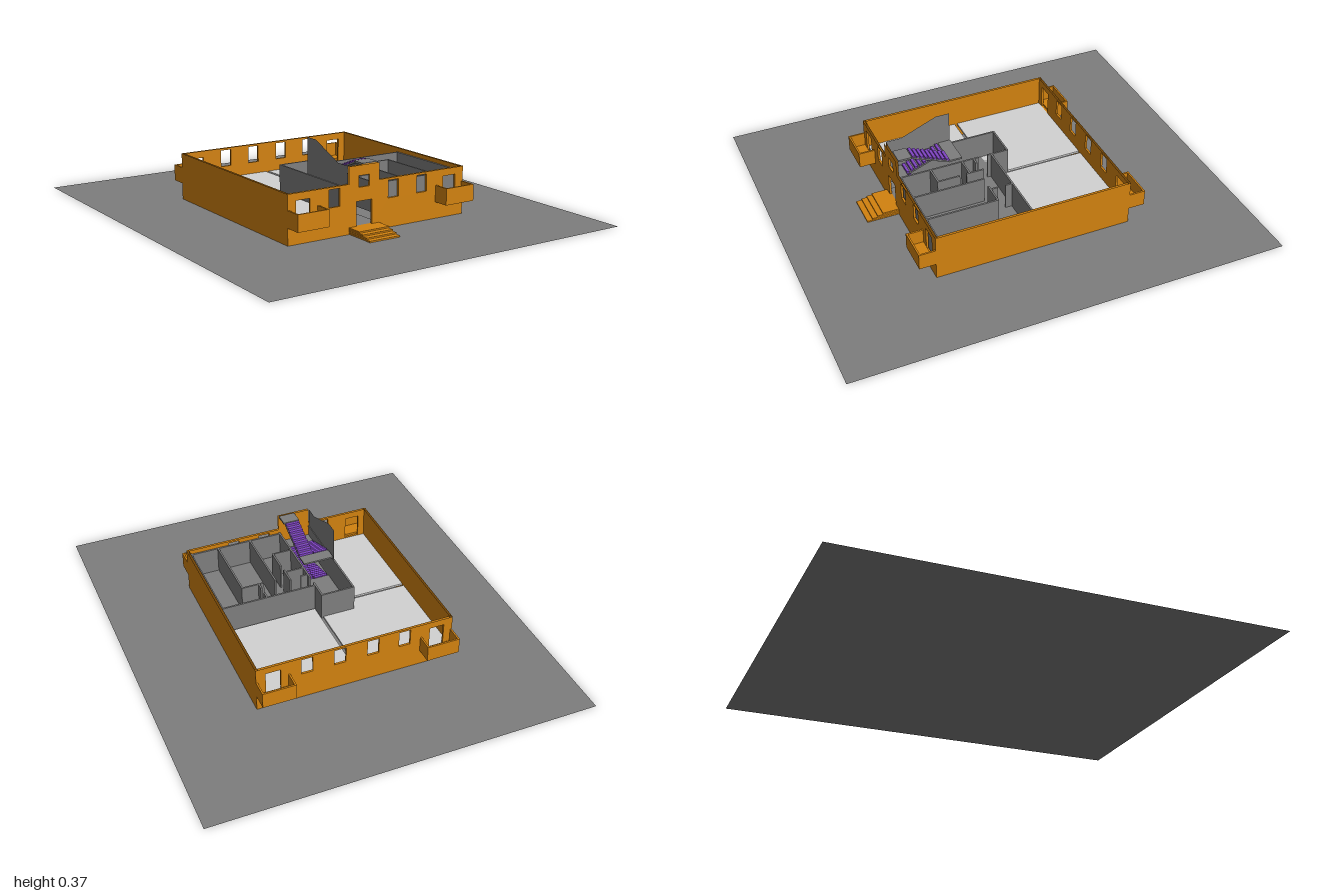
import * as THREE from 'three';

const mat = (name, color, side = THREE.FrontSide) => {
  const m = new THREE.MeshStandardMaterial({ color, side });
  m.name = name;
  return m;
};

export function createModel() {
  const model = new THREE.Group();
  const gray = mat('concrete gray', 0x7e7e7e, THREE.DoubleSide);
  const light = mat('light floor', 0xd2d2d2);
  const orange = mat('orange facade', 0xd2820f, THREE.DoubleSide);
  const purple = mat('purple treads', 0x8044c4);

  const add = (name, geometry, material, parent = model) => {
    const mesh = new THREE.Mesh(geometry, material);
    mesh.name = name;
    parent.add(mesh);
    return mesh;
  };
  // Box given by its minimum and maximum corners
  const box = (name, material, [x0, y0, z0], [x1, y1, z1], parent) => {
    const m = add(name, new THREE.BoxGeometry(x1 - x0, y1 - y0, z1 - z0), material, parent);
    m.position.set((x0 + x1) / 2, (y0 + y1) / 2, (z0 + z1) / 2);
    return m;
  };
  const shapeOf = (pts) => new THREE.Shape(pts.map(([x, y]) => new THREE.Vector2(x, y)));

  // Ground sheet
  add('ground', new THREE.PlaneGeometry(1.76, 2), gray).rotation.x = -Math.PI / 2;

  // Front and back walls: two skins with openings, and reveals between them
  const H = 0.218, FLOOR = 0.075;
  const facade = (name, outline, openings, sign) => {
    const group = new THREE.Group();
    group.name = name;
    const shape = shapeOf(outline);
    for (const [x0, y0, x1, y1] of openings) {
      shape.holes.push(new THREE.Path([[x0, y0], [x0, y1], [x1, y1], [x1, y0]]
        .map(([x, y]) => new THREE.Vector2(x, y))));
      for (const y of [y0, y1]) {
        const sill = add('reveal', new THREE.PlaneGeometry(x1 - x0, 0.01), orange, group);
        sill.rotation.x = -Math.PI / 2;
        sill.position.set((x0 + x1) / 2, y, sign * 0.455);
      }
      for (const x of [x0, x1]) {
        const jamb = add('reveal', new THREE.PlaneGeometry(0.01, y1 - y0), orange, group);
        jamb.rotation.y = Math.PI / 2;
        jamb.position.set(x, (y0 + y1) / 2, sign * 0.455);
      }
    }
    for (const z of [0.45, 0.46]) add('skin', new THREE.ShapeGeometry(shape), orange, group).position.z = sign * z;
    model.add(group);
  };
  const window = (x) => [x - 0.027, 0.13, x + 0.027, 0.208];
  const balconyDoor = (x) => [x - 0.034, FLOOR, x + 0.034, 0.186];
  facade('frontWall',
    [[-0.46, 0], [0.46, 0], [0.46, H], [0, H], [0, 0.293], [-0.155, 0.293], [-0.155, H], [-0.46, H]],
    [balconyDoor(-0.385), window(-0.23), [-0.118, 0.03, -0.037, 0.138], [-0.106, 0.198, -0.051, 0.248],
      window(0.075), window(0.228), balconyDoor(0.382)], 1);
  facade('backWall', [[-0.46, 0], [0.46, 0], [0.46, H], [-0.46, H]],
    [balconyDoor(-0.385), ...[-0.23, -0.08, 0.075, 0.228].map(window), balconyDoor(0.382)], -1);

  // Plain side walls, also two skins
  for (const s of [-1, 1]) for (const x of [0.45, 0.46]) {
    const wall = add('sideWall', new THREE.PlaneGeometry(0.92, H), orange);
    wall.rotation.y = Math.PI / 2;
    wall.position.set(s * x, H / 2, 0);
  }

  // Four corner balconies with parapets
  for (const sx of [-1, 1]) for (const sz of [-1, 1]) {
    const b = new THREE.Group();
    b.name = 'balcony';
    box('balconyFloor', orange, [-0.077, 0.075, 0], [0.077, 0.085, 0.076], b);
    box('balconyParapet', orange, [-0.077, 0.085, 0.068], [0.077, 0.15, 0.076], b);
    for (const x of [-0.077, 0.069])
      box('balconySide', orange, [x, 0.085, 0], [x + 0.008, 0.15, 0.068], b);
    b.position.set(sx * 0.383, 0, sz * 0.46);
    if (sz < 0) b.rotation.y = Math.PI;
    model.add(b);
  }

  // Entrance steps
  [0.61, 0.585, 0.56, 0.535].forEach((z, i) =>
    box('entranceStep', orange, [-0.155, 0.001 + i * 0.0075, 0.46], [0, (i + 1) * 0.0075, z]));

  // Room floors
  for (const [x0, z0, x1, z1] of [[-0.448, -0.45, -0.01, -0.01], [0.004, -0.45, 0.446, -0.01], [-0.448, 0.004, -0.163, 0.446]])
    box('roomFloor', light, [x0, 0.065, z0], [x1, FLOOR, z1]);
  box('flatFloor', gray, [0, 0.065, 0], [0.446, FLOOR, 0.446]);
  box('hallFloor', gray, [-0.155, 0.065, -0.075], [0, FLOOR, 0.2]);
  box('entryFloor', gray, [-0.155, 0.02, 0.2], [0, 0.03, 0.45]);

  // Partition walls as centre lines: x0, z0, x1, z1
  const T = 0.004, TOP = 0.2;
  for (const [x0, z0, x1, z1] of [
    [0, 0.004, 0.442, 0.004], [0.442, 0.004, 0.442, 0.446], [0, 0.442, 0.442, 0.442],
    [0.15, 0.11, 0.15, 0.442], [0.31, 0.11, 0.31, 0.442], [0.21, 0.11, 0.31, 0.11],
    [0.088, 0.2, 0.088, 0.3], [0, 0.3, 0.088, 0.3], [0, 0.148, 0.08, 0.148],
    [0.086, 0.085, 0.086, 0.16], [0, 0.092, 0.028, 0.092], [0.23, 0.004, 0.23, 0.035],
    [0.23, 0.08, 0.23, 0.11], [-0.004, -0.075, -0.004, 0.02], [-0.004, 0.072, -0.004, 0.446],
    [-0.158, -0.075, -0.004, -0.075], [-0.158, -0.075, -0.158, 0.446]])
    box('partitionWall', gray, [x0 - T, 0.066, z0 - T], [x1 + T, TOP, z1 + T]);

  // Raked upper wall of the stairwell
  const rake = add('stairwellWall', new THREE.ShapeGeometry(shapeOf(
    [[0.145, TOP], [0.45, TOP], [0.45, 0.295], [0.38, 0.295], [0.21, 0.365], [0.145, 0.365]])), gray);
  rake.rotation.y = -Math.PI / 2;
  rake.position.x = -0.157;

  // Stair landings
  box('middleLanding', gray, [-0.153, 0.142, 0.385], [-0.008, 0.15, 0.448]);
  box('upperLanding', gray, [-0.153, 0.212, 0.145], [-0.008, 0.22, 0.205]);
  box('topLanding', gray, [-0.08, 0.287, 0.385], [-0.003, 0.296, 0.448]);

  // Stair flights: sloping slab with separate treads
  const flight = (x0, zA, yA, zB, yB) => {
    const group = new THREE.Group();
    group.name = 'stairFlight';
    const slab = add('flightSlab', new THREE.ExtrudeGeometry(shapeOf(
      [[zA, yA - 0.012], [zB, yB - 0.012], [zB, yB - 0.004], [zA, yA - 0.004]]),
      { depth: 0.07, bevelEnabled: false }), gray, group);
    slab.rotation.y = -Math.PI / 2;
    slab.position.x = x0 + 0.07;
    const n = 9, dz = (zB - zA) / n, dy = (yB - yA) / n;
    for (let i = 0; i < n; i++) {
      const z = zA + (i + 0.4) * dz, y = yA + (i + 1) * dy, h = Math.abs(dz) * 0.33;
      box('tread', purple, [x0 + 0.002, y - dy - 0.004, z - h], [x0 + 0.068, y, z + h], group);
    }
    model.add(group);
  };
  const LEFT = -0.152, RIGHT = -0.078;
  flight(LEFT, 0.385, 0.03, 0.2, 0.075);
  flight(RIGHT, 0.205, 0.075, 0.385, 0.15);
  flight(LEFT, 0.385, 0.15, 0.205, 0.22);
  flight(RIGHT, 0.205, 0.222, 0.385, 0.295);

  return model;
}
